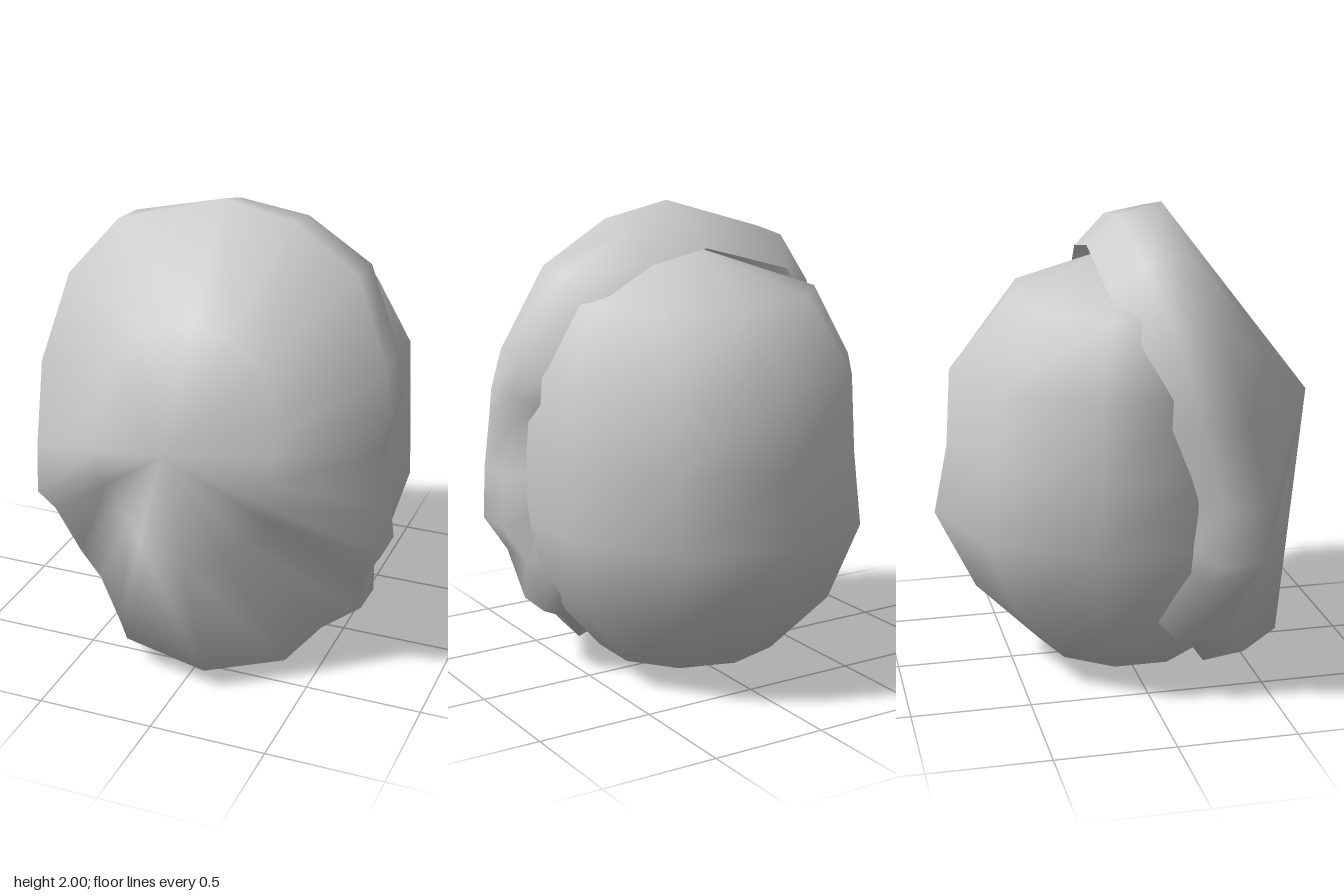
import * as THREE from 'three';
import { toCreasedNormals } from 'three/addons/utils/BufferGeometryUtils.js';

// Skin a smooth surface over closed rings holding equally many points
function loft(rings) {
  const n = rings[0].length, index = [];
  for (let r = 0; r < rings.length - 1; r++) {
    const fromPole = rings[r][0] === rings[r][1], toPole = rings[r + 1][0] === rings[r + 1][1];
    for (let i = 0; i < n; i++) {
      const a = r * n + i, b = r * n + (i + 1) % n;
      if (!fromPole) index.push(a, a + n, b);
      if (!toPole) index.push(b, a + n, b + n);
    }
  }
  const geometry = new THREE.BufferGeometry();
  geometry.setAttribute('position', new THREE.Float32BufferAttribute(rings.flat(2), 3));
  geometry.setIndex(index);
  return toCreasedNormals(geometry, Math.PI);
}

// Front plate edge, clockwise from the top as seen from the front
const edge = [
  [0, 2, 0.17], [0.3, 1.94, 0.17], [0.58, 1.76, 0.2], [0.74, 1.41, 0.29], [0.77, 1.24, 0.33],
  [0.74, 1.1, 0.42], [0.76, 0.87, 0.44], [0.78, 0.65, 0.42], [0.69, 0.5, 0.38],
  [0.66, 0.3, 0.28], [0.52, 0.23, 0.38], [0.39, 0.09, 0.47], [0.1, 0.09, 0.67],
  [-0.27, 0.14, 0.63], [-0.39, 0.1, 0.45], [-0.52, 0.24, 0.36], [-0.66, 0.3, 0.27],
  [-0.72, 0.56, 0.38], [-0.78, 0.65, 0.42], [-0.765, 0.88, 0.43], [-0.77, 1.24, 0.34],
  [-0.67, 1.62, 0.245], [-0.47, 1.86, 0.17],
];

function createFrontPlate() {
  const apex = [0, 1.15, 0.83];
  const towardsEdge = (t) => edge.map((p) => p.map((v, k) => apex[k] + (v - apex[k]) * t));
  return loft([
    edge.map(() => apex),
    towardsEdge(0.5),
    edge,
    // rim, then the return tucked into the shell
    edge.map(([x, y, z]) => [x, y - 0.05 * (1 - Math.abs(x) / 0.78), z - 0.18]),
    edge.map(([x, y, z]) => [x * 0.87, 1.05 + (y - 1.05) * 0.82, z - 0.32]),
  ]);
}

// Ten-sided rounded shell: height, back depth, half width, front depth
const shellRings = [
  [0, 0, 0, 0], [0.08, 0.38, 0.4, 0.36], [0.35, 0.65, 0.64, 0.5], [0.7, 0.82, 0.74, 0.5],
  [1.0, 0.76, 0.735, 0.5], [1.33, 0.74, 0.72, 0.4], [1.63, 0.49, 0.58, 0.3], [1.83, 0, 0, 0],
];

function createShell() {
  const sides = 10;
  return loft(shellRings.map(([y, back, wide, front]) => {
    const pole = [0, y, 0.01];
    return Array.from({ length: sides }, (_, i) => {
      if (wide === 0) return pole;
      const a = (i / sides) * Math.PI * 2, c = Math.cos(a);
      return [wide * Math.sin(a), y, c > 0 ? -back * c : -front * c];
    });
  }));
}

export function createModel() {
  const group = new THREE.Group();
  const material = new THREE.MeshStandardMaterial({ color: 0xcccccc, side: THREE.DoubleSide });
  const parts = { frontPlate: createFrontPlate(), backShell: createShell() };
  for (const [name, geometry] of Object.entries(parts)) {
    const mesh = new THREE.Mesh(geometry, material);
    mesh.name = name;
    group.add(mesh);
  }
  return group;
}
